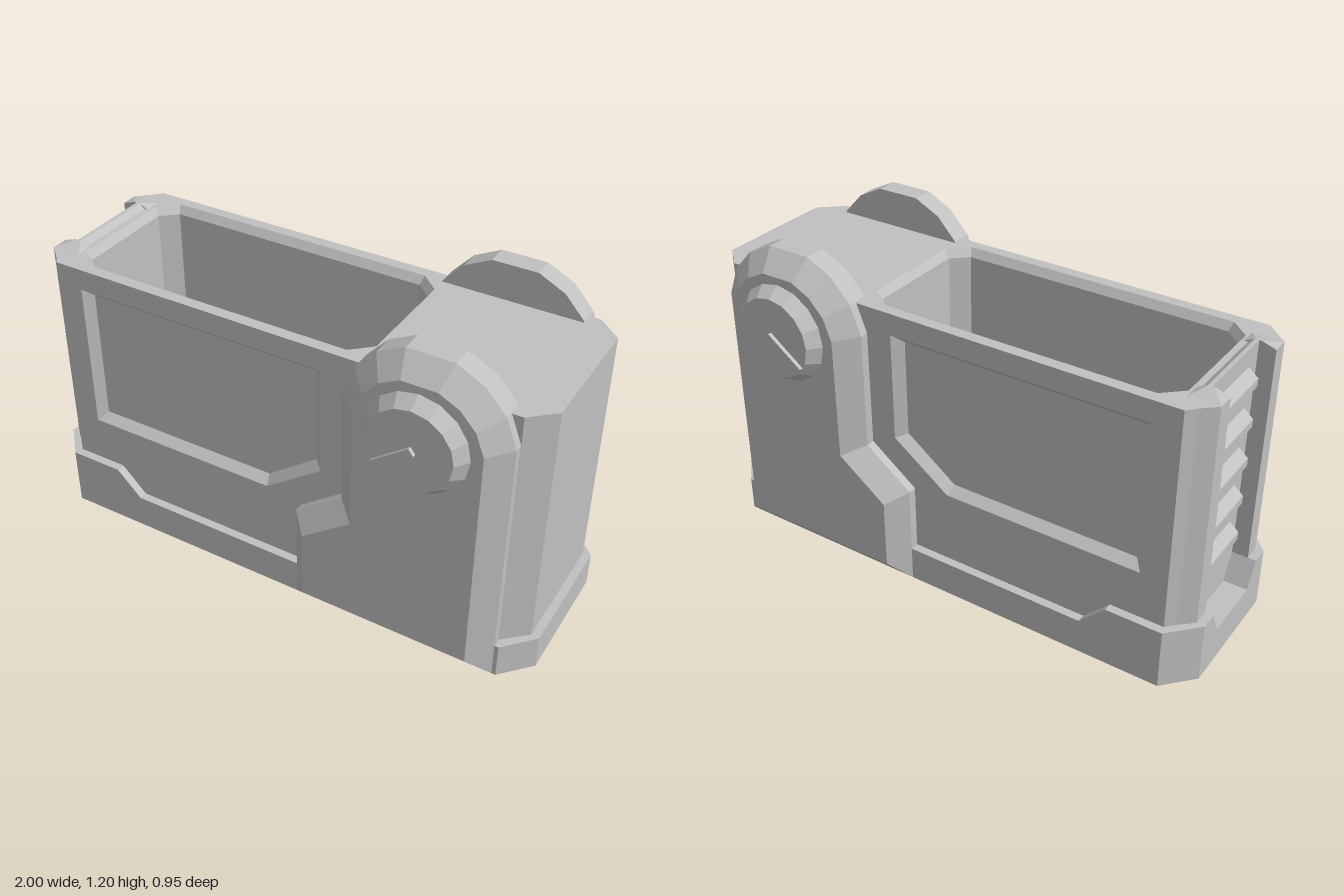
import * as THREE from 'three';

const ccw = (p, want = true) =>
  (THREE.ShapeUtils.area(p.map(([x, y]) => ({ x, y }))) > 0) === want ? p : [...p].reverse();

// Flat-shaded solid from stacked outlines: layers = [{ z, pts, hole? }, ...], rising in z
function prism(layers) {
  const v = [];
  const L = layers.map(({ z, pts, hole }) => ({ z, rings: [ccw(pts), ...(hole ? [ccw(hole, false)] : [])] }));
  for (let k = 0; k + 1 < L.length; k++) {
    L[k].rings.forEach((a, r) => {
      const b = L[k + 1].rings[r], z0 = L[k].z, z1 = L[k + 1].z;
      a.forEach((p, i) => {
        const j = (i + 1) % a.length;
        v.push(...p, z0, ...a[j], z0, ...b[j], z1, ...p, z0, ...b[j], z1, ...b[i], z1);
      });
    });
  }
  [L[0], L[L.length - 1]].forEach(({ z, rings }, end) => {
    const [c, ...holes] = rings.map((r) => r.map(([x, y]) => new THREE.Vector2(x, y)));
    const faces = THREE.ShapeUtils.triangulateShape(c, holes);
    const all = rings.flat();
    for (const f of faces) for (const i of end ? f : [...f].reverse()) v.push(...all[i], z);
  });
  const g = new THREE.BufferGeometry();
  g.setAttribute('position', new THREE.Float32BufferAttribute(v, 3));
  g.computeVertexNormals();
  return g;
}

// Same solid, but the outlines lie in plan and the layers rise in y
const upright = (layers) => prism(layers).rotateX(-Math.PI / 2);

// Mirrored copy across z = 0 with corrected winding
function mirrorZ(geo) {
  const g = geo.index ? geo.toNonIndexed() : geo.clone();
  g.scale(1, 1, -1);
  const p = g.attributes.position;
  for (let i = 0; i < p.count; i += 3) {
    const a = new THREE.Vector3().fromBufferAttribute(p, i + 1);
    const b = new THREE.Vector3().fromBufferAttribute(p, i + 2);
    p.setXYZ(i + 1, b.x, b.y, b.z);
    p.setXYZ(i + 2, a.x, a.y, a.z);
  }
  g.computeVertexNormals();
  return g;
}

const octagon = (x0, x1, z, zEnd, c) => [
  [x0, -zEnd], [x0 + c, -z], [x1 - c, -z], [x1, -zEnd],
  [x1, zEnd], [x1 - c, z], [x0 + c, z], [x0, zEnd],
];
const rect = (x0, x1, y0, y1) => [[x0, y0], [x1, y0], [x1, y1], [x0, y1]];

export function createModel() {
  const model = new THREE.Group();
  model.name = 'twinCellCase';
  const grey = new THREE.MeshStandardMaterial({ color: 0xc0c0c0, flatShading: true });
  grey.name = 'grey';
  const add = (name, geo) => {
    const m = new THREE.Mesh(geo, grey);
    m.name = name;
    model.add(m);
  };
  const addPair = (name, geo) => {
    add(name + 'Front', geo);
    add(name + 'Back', mirrorZ(geo));
  };

  // Hollow body with a channel down the right-hand end and a bevelled mouth
  const outline = [
    ...octagon(-0.97, 0.97, 0.28, 0.235, 0.05),
    [-0.97, 0.17], [-0.91, 0.17], [-0.91, -0.17], [-0.97, -0.17],
  ];
  const cavity = octagon(-0.83, 0.31, 0.25, 0.195, 0.06);
  const mouth = octagon(-0.85, 0.33, 0.27, 0.205, 0.07);
  add('body', upright([
    { z: 0.01, pts: outline, hole: cavity },
    { z: 1.03, pts: outline, hole: cavity },
    { z: 1.06, pts: outline, hole: mouth },
  ]));
  add('cavityFloor', upright([
    { z: 0.02, pts: rect(-0.84, 0.32, -0.26, 0.26) },
    { z: 0.15, pts: rect(-0.84, 0.32, -0.26, 0.26) },
  ]));

  // Side skins with a bevelled window recess
  const recess = [[-0.76, 0.44], [-0.04, 0.44], [0.155, 0.585], [0.155, 0.95], [-0.76, 0.95]];
  const opening = [[-0.79, 0.41], [-0.03, 0.41], [0.19, 0.57], [0.19, 0.98], [-0.79, 0.98]];
  addPair('sideSkin', prism([
    { z: 0.28, pts: rect(-0.92, 0.92, 0.01, 1.06), hole: recess },
    { z: 0.313, pts: rect(-0.89, 0.885, 0.01, 1.06), hole: opening },
  ]));

  // Base plinth and the taller collar around the channelled end
  const plinth = octagon(-1, 1, 0.345, 0.237, 0.1);
  add('base', upright([{ z: 0, pts: plinth }, { z: 0.133, pts: plinth }]));
  const collar = (xEnd, zNotch) => [
    [-1, -zNotch], [-0.91, -zNotch], [-0.91, -0.26], [xEnd, -0.26],
    [xEnd, -0.345], [-0.9, -0.345], [-1, -0.237],
  ];
  addPair('baseCollar', upright([
    { z: 0.13, pts: collar(-0.59, 0.12) },
    { z: 0.23, pts: collar(-0.69, 0.17) },
  ]));

  // Low ridge at the top of the channelled end
  add('topRidge', upright([
    { z: 1.05, pts: rect(-0.91, -0.86, -0.17, 0.17) },
    { z: 1.077, pts: rect(-0.91, -0.895, -0.17, 0.17) },
  ]));
  addPair('ridgeHorn', upright([
    { z: 1.06, pts: rect(-0.97, -0.86, -0.235, -0.17) },
    { z: 1.077, pts: rect(-0.92, -0.895, -0.175, -0.17) },
  ]));

  // Five grip fins in the channel
  for (let i = 0; i < 5; i++) {
    const y = 0.33 + i * 0.152;
    const pts = [[-0.905, y], [-0.945, y + 0.01], [-0.945, y + 0.04], [-0.905, y + 0.075]];
    add('gripFin' + (i + 1), prism([{ z: -0.11, pts }, { z: 0.11, pts }]));
  }

  // Round-headed side brackets with bevelled edges
  const cx = 0.587, cy = 0.905;
  const arc = (r) => [10, 32, 53, 74, 106, 127, 148, 170].map((d) => {
    const a = THREE.MathUtils.degToRad(d);
    return [cx + r * Math.cos(a), cy + r * Math.sin(a)];
  });
  const edge = [[0.11, 0], [0.885, 0], ...arc(0.302), [0.29, 0.52], [0.11, 0.385]];
  const face = [[0.175, 0.08], [0.81, 0.08], ...arc(0.227), [0.362, 0.485], [0.175, 0.345]];
  addPair('hingeBracket', prism([
    { z: 0.265, pts: edge }, { z: 0.345, pts: edge }, { z: 0.413, pts: face },
  ]));

  // Knobs with an off-centre pointer bar
  addPair('knob', new THREE.CylinderGeometry(0.15, 0.185, 0.05, 16)
    .rotateX(Math.PI / 2).translate(cx, 0.913, 0.436).toNonIndexed());
  addPair('knobPointer', new THREE.BoxGeometry(0.165, 0.03, 0.03)
    .rotateZ(0.64).translate(0.535, 0.873, 0.46).toNonIndexed());

  // Two cells standing in the cavity
  [-0.55, -0.04].forEach((x, i) => {
    const profile = [[0, 0.14], [0.222, 0.14], [0.222, 0.66], [0.178, 0.7], [0, 0.7]];
    const cell = new THREE.LatheGeometry(profile.map(([r, y]) => new THREE.Vector2(r, y)), 16);
    add('cell' + (i + 1), cell.translate(x, 0, 0));
  });

  return model;
}
